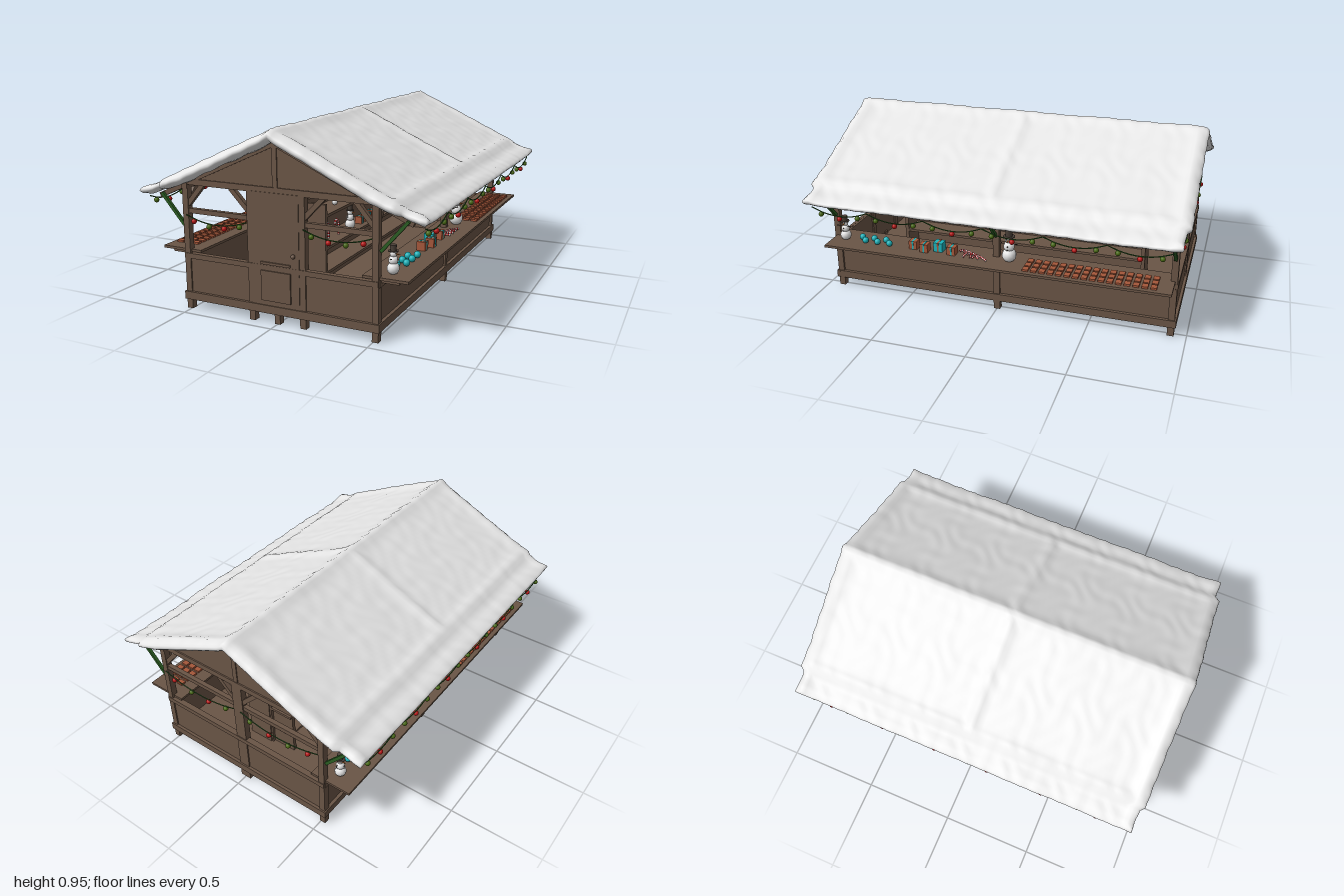
import * as THREE from 'three';
import { mergeVertices } from 'three/addons/utils/BufferGeometryUtils.js';

const mat = (name, color) => {
  const m = new THREE.MeshStandardMaterial({ color });
  m.name = name;
  return m;
};
const V = (x, y, z) => new THREE.Vector3(x, y, z);

export function createModel() {
  const wood = mat('brown wood', 0x6a5546), snow = mat('snow', 0xe6e6e6);
  const green = mat('dark green', 0x2a5c22), leaf = mat('green bauble', 0x4a6b14);
  const red = mat('red bauble', 0xb81414), teal = mat('teal', 0x1cb4bc);
  const clay = mat('gingerbread', 0xa5573a), orange = mat('carrot', 0xe07a20);
  const coal = mat('hat', 0x4a4038);
  const root = new THREE.Group();
  root.name = 'marketStall';

  const add = (parent, name, geo, m, x = 0, y = 0, z = 0) => {
    const o = new THREE.Mesh(geo, m);
    o.name = name;
    o.position.set(x, y, z);
    parent.add(o);
    return o;
  };
  const box = (p, name, m, w, h, d, x, y, z) => add(p, name, new THREE.BoxGeometry(w, h, d), m, x, y, z);
  const group = (p, name, x = 0, y = 0, z = 0) => {
    const g = new THREE.Group();
    g.name = name;
    g.position.set(x, y, z);
    p.add(g);
    return g;
  };
  // square beam between two points
  const beam = (p, name, m, a, b, t) => {
    const o = box(p, name, m, t, t, a.distanceTo(b), 0, 0, 0);
    o.position.copy(a).add(b).multiplyScalar(0.5);
    o.lookAt(b);
    return o;
  };
  const ballGeo = new THREE.SphereGeometry(1, 12, 9);
  const ball = (p, name, m, r, x, y, z) => {
    const o = add(p, name, ballGeo, m, x, y, z);
    o.scale.setScalar(r);
    return o;
  };

  // floor, posts and long side walls
  box(root, 'floor', wood, 1.02, 0.03, 1.84, 0, 0.065, 0);
  for (const s of [-1, 1]) {
    for (const z of [-0.92, 0, 0.92]) {
      box(root, 'post', wood, 0.032, 0.65, 0.034, s * 0.51, 0.325, z);
      beam(root, 'eaveBrace', green, V(s * 0.53, 0.43, z), V(s * 0.66, 0.58, z), 0.016);
    }
    box(root, 'sideWall', wood, 0.02, 0.24, 1.84, s * 0.505, 0.175, 0);
    box(root, 'sideSkirt', wood, 0.018, 0.04, 1.88, s * 0.523, 0.07, 0);
    box(root, 'sideRail', wood, 0.018, 0.035, 1.86, s * 0.52, 0.278, 0);
    box(root, 'counter', wood, 0.225, 0.013, 1.85, s * 0.552, 0.302, 0);
    box(root, 'wallPlate', wood, 0.03, 0.035, 1.88, s * 0.51, 0.638, 0);
    box(root, 'purlin', wood, 0.03, 0.03, 1.86, s * 0.26, 0.735, 0);
    for (const z of [-0.9, -0.7, -0.5, -0.3, -0.1, 0.1, 0.3, 0.5, 0.7, 0.9])
      box(root, 'counterBracket', wood, 0.09, 0.016, 0.02, s * 0.57, 0.288, z);
    for (const z of [-0.9, 0, 0.9])
      beam(root, 'rafter', wood, V(0, 0.865, z), V(s * 0.68, 0.565, z), 0.025);
    for (const z of [-0.92, 0, 0.92]) for (const d of [-1, 1])
      if (Math.abs(z + d * 0.1) < 0.92)
        beam(root, 'sideKnee', wood, V(s * 0.51, 0.55, z), V(s * 0.51, 0.64, z + d * 0.09), 0.02);
  }
  box(root, 'ridgeBeam', wood, 0.03, 0.04, 1.86, 0, 0.86, 0);
  box(root, 'middleTie', wood, 1.04, 0.03, 0.03, 0, 0.655, 0);

  // gable ends
  const gable = new THREE.Shape([[-0.53, 0.65], [0.53, 0.65], [0, 0.89]].map(p => new THREE.Vector2(...p)));
  for (const s of [-1, 1]) {
    const end = group(root, s > 0 ? 'frontEnd' : 'backEnd');
    const z = s * 0.92, inner = s > 0 ? 0.14 : 0.015;
    add(end, 'gable', new THREE.ExtrudeGeometry(gable, { depth: 0.02, bevelEnabled: false }), wood, 0, 0, z - 0.01);
    box(end, 'lowWall', wood, 1.02, 0.23, 0.02, 0, 0.175, z);
    box(end, 'skirt', wood, 1.065, 0.04, 0.018, 0, 0.07, z + s * 0.016);
    box(end, 'wallRail', wood, 1.05, 0.026, 0.018, 0, 0.278, z + s * 0.012);
    box(end, 'tieBeam', wood, 1.05, 0.03, 0.034, 0, 0.655, z);
    box(end, 'crossRail', wood, 1.02, 0.024, 0.024, 0, 0.508, z);
    box(end, 'kingPost', wood, 0.026, 0.22, 0.03, 0, 0.77, z);
    box(end, 'middleLeg', wood, 0.03, 0.1, 0.034, 0, 0.05, z);
    for (const d of [-1, 1]) {
      box(end, 'gableTrim', wood, 0.56, 0.028, 0.03, d * 0.265, 0.758, z).rotation.z = -d * 0.425;
      box(end, 'innerPost', wood, 0.032, 0.65, 0.034, d * inner, 0.325, z);
      beam(end, 'knee', wood, V(d * 0.5, 0.54, z), V(d * 0.41, 0.645, z), 0.024);
      beam(end, 'knee', wood, V(d * inner, 0.53, z), V(d * (inner + 0.11), 0.645, z), 0.024);
    }
  }

  // door
  const door = group(root, 'door', 0, 0, 0.93);
  box(door, 'doorLeaf', wood, 0.25, 0.56, 0.02, 0, 0.365, 0);
  box(door, 'doorPanel', wood, 0.16, 0.15, 0.012, 0, 0.19, 0.012);
  box(door, 'doorLedge', wood, 0.16, 0.012, 0.012, 0, 0.302, 0.012);
  ball(door, 'doorKnob', wood, 0.011, 0.1, 0.355, 0.022);

  // snow-covered roof: a grid bent over the roof line, with humps on the seams
  const curve = (pts, x) => {
    let i = 1;
    while (i < pts.length - 1 && x > pts[i][0]) i++;
    const [a, b] = [pts[i - 1], pts[i]];
    return a[1] + (b[1] - a[1]) * (x - a[0]) / (b[0] - a[0]);
  };
  const topLine = [[0, 0.935], [0.6, 0.66], [0.66, 0.627], [0.755, 0.6]];
  const lowLine = [[0, 0.883], [0.5, 0.648], [0.755, 0.562]];
  const hump = (d, w) => Math.exp(-(d * d) / (w * w));
  const wave = (x, z) => Math.sin(x * 31 + Math.sin(z * 23) * 2) * Math.sin(z * 37 + Math.sin(x * 19) * 2);
  let roof = new THREE.BoxGeometry(2, 1, 2, 72, 4, 88);
  roof.deleteAttribute('uv');
  roof.deleteAttribute('normal');
  roof = mergeVertices(roof);
  const pos = roof.attributes.position;
  for (let i = 0; i < pos.count; i++) {
    const u = pos.getX(i), t = pos.getY(i), w = pos.getZ(i);
    const bulge = 1 - 4 * t * t;
    let x = u * 0.745, ax = Math.abs(x);
    let z = w * (ax > 0.635 ? 0.955 : 0.978);
    const edge = Math.max(Math.abs(u), Math.abs(w));
    const pinch = edge > 0.985 ? 0.7 : 1;
    const n = wave(x, z);
    const hi = curve(topLine, ax) + 0.003 * n
      + 0.013 * Math.max(hump(x, 0.035), hump(ax - 0.61, 0.03), ax < 0.64 ? hump(z, 0.03) : 0, hump(Math.abs(z) - 0.945, 0.035));
    const lo = curve(lowLine, ax) + (edge > 0.95 ? 0.005 * n : 0);
    if (Math.abs(u) > 0.99) x += Math.sign(u) * (0.012 * bulge + 0.003 * n);
    if (Math.abs(w) > 0.99) z += Math.sign(w) * (0.014 * bulge + 0.004 * n);
    pos.setXYZ(i, x, (hi + lo) / 2 + t * (hi - lo) * pinch, z);
  }
  roof.computeVertexNormals();
  add(root, 'snowyRoof', roof, snow);

  // garlands: sagging cords with alternating baubles
  const garland = (name, a, b, sag, count) => {
    const g = group(root, name);
    const at = t => a.clone().lerp(b, t).add(V(0, -sag * 4 * t * (1 - t), 0));
    const pts = [0, 0.2, 0.4, 0.6, 0.8, 1].map(at);
    add(g, 'cord', new THREE.TubeGeometry(new THREE.CatmullRomCurve3(pts), 12, 0.003, 5), green);
    for (let i = 0; i < count; i++) {
      const p = at((i + 0.5) / count);
      ball(g, 'bauble', i % 2 ? red : leaf, 0.0135, p.x, p.y - 0.014, p.z);
    }
  };
  for (const s of [-1, 1]) {
    for (let i = 0; i < 6; i++) {
      const z = -0.93 + i * 0.31;
      garland('eaveGarland', V(s * 0.735, 0.56, z), V(s * 0.735, 0.56, z + 0.31), 0.035, 3);
    }
    garland('frontGarland', V(s * 0.15, 0.49, 0.945), V(s * 0.5, 0.49, 0.945), 0.035, 4);
    garland('backGarland', V(s * 0.02, 0.49, -0.945), V(s * 0.5, 0.49, -0.945), 0.04, 4);
  }

  // goods
  const snowman = (p, x, y, z, h) => {
    const g = group(p, 'snowman', x, y, z);
    ball(g, 'body', snow, 0.21, 0, 0.19, 0);
    ball(g, 'chest', snow, 0.16, 0, 0.46, 0);
    ball(g, 'head', snow, 0.12, 0, 0.68, 0);
    add(g, 'hatBrim', new THREE.CylinderGeometry(0.17, 0.17, 0.025, 12), coal, 0, 0.77, 0);
    add(g, 'hatCrown', new THREE.CylinderGeometry(0.11, 0.1, 0.2, 12), coal, 0, 0.88, 0);
    add(g, 'nose', new THREE.ConeGeometry(0.03, 0.14, 8), orange, 0.17, 0.67, 0).rotation.z = -Math.PI / 2;
    for (const s of [-1, 1]) {
      beam(g, 'arm', coal, V(0, 0.48, s * 0.13), V(0, 0.62, s * 0.32), 0.02);
      ball(g, 'eye', coal, 0.018, 0.11, 0.71, s * 0.045);
    }
    for (const y2 of [0.4, 0.5]) ball(g, 'button', coal, 0.02, 0.155, y2, 0);
    g.scale.setScalar(h);
  };
  const caneGeo = new THREE.TubeGeometry(new THREE.CatmullRomCurve3(
    [V(0, 0, 0), V(0, 0.035, 0), V(0, 0.065, 0), V(0, 0.085, 0.015), V(0, 0.08, 0.035), V(0, 0.062, 0.04)]), 18, 0.006, 6);
  for (let i = 0; i < 18; i++) caneGeo.addGroup(i * 36, 36, i % 2);
  const cane = (p, x, y, z, flat, turn) => {
    const o = add(p, 'candyCane', caneGeo, [snow, red], x, y, z);
    o.rotation.set(0, turn, flat ? Math.PI / 2 : 0);
  };
  const gift = (p, m, x, y, z, s) => {
    box(p, 'gift', m, s, s, s, x, y + s / 2, z);
    box(p, 'giftRibbon', m === teal ? clay : teal, s + 0.003, s + 0.003, s * 0.18, x, y + s / 2, z);
  };
  const teals = (p, x, y, z0, n, step = 0.035) => {
    for (let i = 0; i < n; i++) ball(p, 'tealBauble', teal, 0.017, x + (i % 2) * 0.035, y + 0.017, z0 - i * step);
  };

  // each half of the stall: shelf unit facing +x and goods on its counter
  for (const turn of [0, Math.PI]) {
    const half = group(root, 'salesSide');
    half.rotation.y = turn;
    const y = 0.309;
    snowman(half, 0.56, y, 0.85, 0.14);
    teals(half, 0.54, y, 0.76, 6);
    gift(half, clay, 0.55, y, 0.45, 0.045);
    gift(half, clay, 0.57, y, 0.38, 0.045);
    gift(half, teal, 0.54, y, 0.31, 0.05);
    gift(half, clay, 0.56, y, 0.23, 0.045);
    for (let i = 0; i < 4; i++) cane(half, 0.6, y + 0.006, 0.16 - i * 0.045, true, i * 0.3);
    snowman(half, 0.55, y, -0.08, 0.18);
    for (let i = 0; i < 16; i++) for (let j = 0; j < 3; j++)
      box(half, 'gingerbread', clay, 0.036, 0.01, 0.03, 0.53 + j * 0.046, y + 0.005, -0.19 - i * 0.043);

    // shelves
    box(half, 'shelfBack', wood, 0.01, 0.47, 1.4, 0.006, 0.315, -0.015 * Math.cos(turn));
    for (const sy of [0.2, 0.325, 0.49])
      box(half, 'shelf', wood, 0.14, 0.014, 1.4, 0.07, sy, -0.015 * Math.cos(turn));
    for (const z of [-0.71, 0.69])
      box(half, 'shelfSide', wood, 0.14, 0.47, 0.02, 0.07, 0.315, z);
    cane(half, 0.1, 0.35, 0.59, false, 0);
    cane(half, 0.1, 0.34, 0.48, false, 0);
    snowman(half, 0.09, 0.332, 0.32, 0.13);
    snowman(half, 0.09, 0.332, -0.22, 0.13);
    snowman(half, 0.09, 0.332, -0.3, 0.13);
    teals(half, 0.07, 0.332, -0.41, 7, 0.04);
    for (let i = 0; i < 4; i++) gift(half, clay, 0.09, 0.332, 0.2 - i * 0.05, 0.038);
    teals(half, 0.07, 0.497, 0.29, 8);
    for (const z of [0.48, 0.4]) snowman(half, 0.08, 0.497, z, 0.07);
    for (let i = 0; i < 3; i++) cane(half, 0.09, 0.497, -0.1 - i * 0.07, false, 0);
    gift(half, teal, 0.08, 0.497, -0.43, 0.05);
    for (let i = 0; i < 3; i++) gift(half, clay, 0.08, 0.497, -0.5 - i * 0.06, 0.045);
  }
  return root;
}
